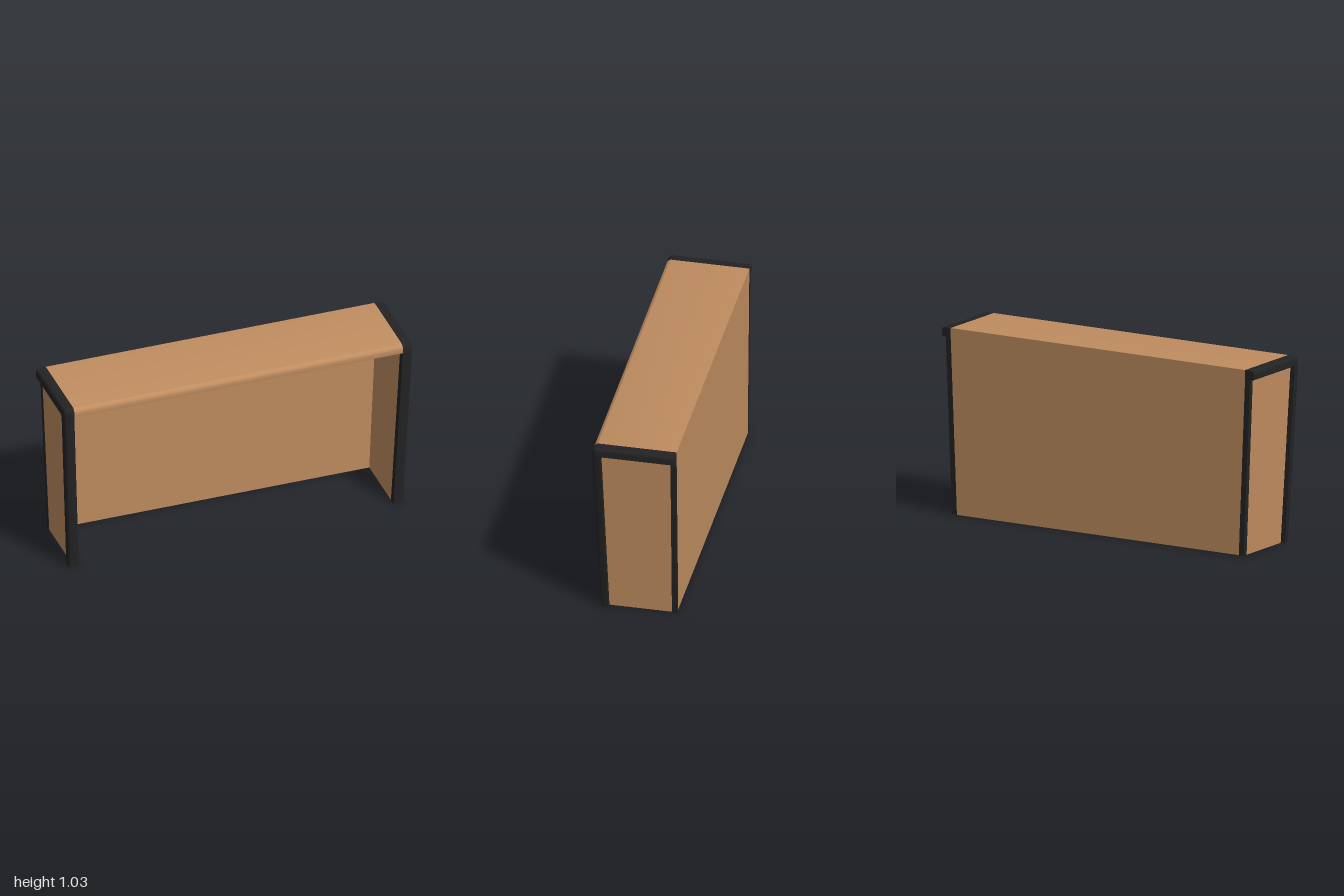
import * as THREE from 'three';
import { toCreasedNormals } from 'three/addons/utils/BufferGeometryUtils.js';

const HALF_DEPTH = 0.228, TOP = 1.03, UNDER = 0.98, INNER = 0.943;
const wood = new THREE.MeshStandardMaterial({ color: 0xc08d60 });
wood.name = 'wood';
const black = new THREE.MeshStandardMaterial({ color: 0x232323 });
black.name = 'blackTrim';

// The ends splay outwards from the floor to the underside of the top
const splay = (y) => 0.04 * Math.min(0, y / UNDER - 1);

function splayGeometry(geo) {
  const p = geo.attributes.position;
  for (let i = 0; i < p.count; i++) {
    p.setX(i, p.getX(i) + Math.sign(p.getX(i)) * splay(p.getY(i)));
  }
  geo.computeVertexNormals();
  return geo;
}

// Side profile of [z, y] points extruded from x0 to x1
function profile(points, x0, x1) {
  const shape = new THREE.Shape(points.map(([z, y]) => new THREE.Vector2(z, y)));
  const geo = new THREE.ExtrudeGeometry(shape, { depth: x1 - x0, bevelEnabled: false });
  geo.rotateY(-Math.PI / 2);
  geo.translate(x1, 0, 0);
  return splayGeometry(geo);
}

// Rounded front corner of the top, from the front face to the upper face
const corner = [];
const R = 0.028;
for (let i = 0; i <= 8; i++) {
  const a = (i / 8) * Math.PI / 2;
  corner.push([HALF_DEPTH - R + R * Math.cos(a), TOP - R + R * Math.sin(a)]);
}

// Trim that runs up the front post and back along the top, rounded on its outer edge
function frameGeometry(side) {
  const path = [
    { outer: [0.187, 0], inner: [0.145, 0] },
    { outer: [0.227, UNDER], inner: [0.181, 0.968] },
    ...corner.map((outer, i) => ({ outer, inner: [0.181 - 0.012 * i / 8, 0.968 + 0.012 * i / 8] })),
    { outer: [-HALF_DEPTH, TOP], inner: [-HALF_DEPTH, UNDER] },
  ];
  const section = [[INNER, 0], [1, 0]];
  for (let i = 0; i <= 5; i++) {
    const a = (i / 5) * Math.PI / 2;
    section.push([0.982 + 0.018 * Math.cos(a), 0.64 + 0.36 * Math.sin(a)]);
  }
  section.push([INNER, 1]);
  const rings = path.map(({ outer, inner }) => section.map(([x, t]) => {
    const z = THREE.MathUtils.lerp(inner[0], outer[0], t);
    const y = THREE.MathUtils.lerp(inner[1], outer[1], t);
    return [side * (x + splay(y)), y, z];
  }));
  const pos = [];
  const tri = (a, b, c) => pos.push(...a, ...(side > 0 ? b : c), ...(side > 0 ? c : b));
  const n = section.length;
  for (let i = 0; i < rings.length - 1; i++) {
    for (let j = 0; j < n; j++) {
      const k = (j + 1) % n;
      tri(rings[i][j], rings[i + 1][j], rings[i][k]);
      tri(rings[i][k], rings[i + 1][j], rings[i + 1][k]);
    }
  }
  const last = rings[rings.length - 1];
  for (let j = 1; j < n - 1; j++) {
    tri(rings[0][0], rings[0][j], rings[0][j + 1]);
    tri(last[0], last[j + 1], last[j]);
  }
  const geo = new THREE.BufferGeometry();
  geo.setAttribute('position', new THREE.Float32BufferAttribute(pos, 3));
  return toCreasedNormals(geo, 0.6);
}

export function createModel() {
  const group = new THREE.Group();
  const add = (name, geo, mat) => {
    const mesh = new THREE.Mesh(geo, mat);
    mesh.name = name;
    group.add(mesh);
  };

  // Counter top with a rounded front edge
  const top = profile([[-HALF_DEPTH, UNDER], [HALF_DEPTH - 0.003, UNDER], ...corner, [-HALF_DEPTH, TOP]], -INNER, INNER);
  add('counterTop', toCreasedNormals(top, 0.6), wood);

  // Back panel, narrowing towards the floor
  const back = new THREE.BoxGeometry(2 * INNER, UNDER, 0.028);
  back.translate(0, UNDER / 2, -0.214);
  add('backPanel', splayGeometry(back), wood);

  for (const side of [1, -1]) {
    const label = side > 0 ? 'left' : 'right';
    const span = (a, b) => (side > 0 ? [a, b] : [-b, -a]);
    add(label + 'FrameTrim', frameGeometry(side), black);
    // Recessed side panel between the front post and the back strip
    add(label + 'SidePanel', profile([[-0.2, 0], [0.15, 0], [0.186, UNDER], [-0.2, UNDER]], ...span(INNER, 0.973)), wood);
    // Strip covering the rear corner
    add(label + 'BackStrip', profile([[-HALF_DEPTH, 0], [-0.2, 0], [-0.2, UNDER], [-HALF_DEPTH, UNDER]], ...span(INNER, 0.975)), black);
  }
  return group;
}
